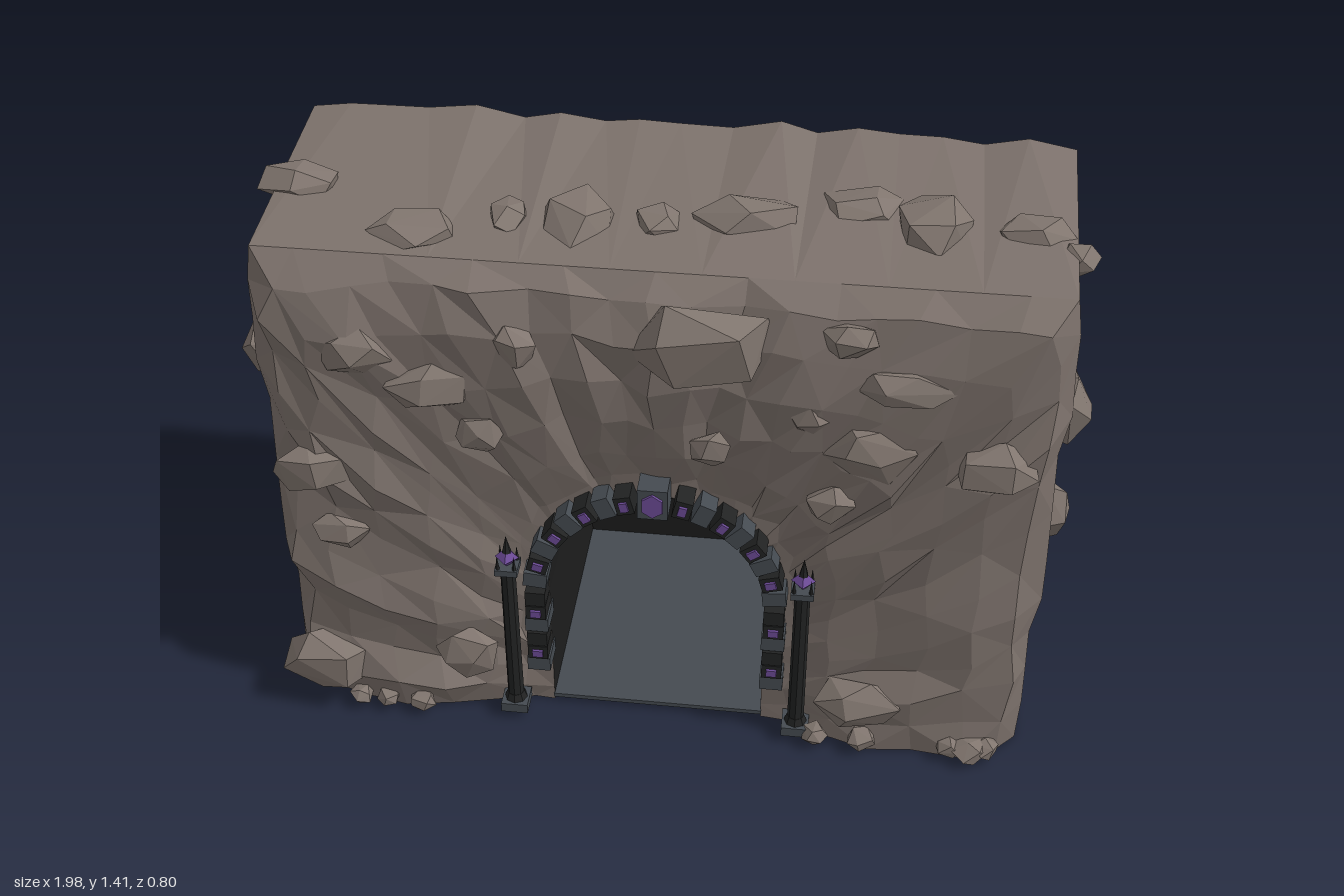
import * as THREE from 'three';
import { ConvexGeometry } from 'three/addons/geometries/ConvexGeometry.js';

let seed = 7;
const rnd = () => {
  seed = (seed * 16807) % 2147483647;
  return seed / 2147483647;
};
const jit = (a) => (rnd() * 2 - 1) * a;
const V = (x, y, z) => new THREE.Vector3(x, y, z);

const mat = (name, color, extra = {}) =>
  new THREE.MeshStandardMaterial({ name, color, flatShading: true, ...extra });

// Faceted surface through rows of points
function sheet(rows) {
  const pos = [];
  for (let i = 0; i < rows.length - 1; i++) {
    for (let j = 0; j < rows[i].length - 1; j++) {
      const a = rows[i][j], b = rows[i][j + 1], c = rows[i + 1][j + 1], d = rows[i + 1][j];
      const order = (i + j) % 2 ? [a, b, c, a, c, d] : [a, b, d, b, c, d];
      order.forEach((p) => pos.push(p.x, p.y, p.z));
    }
  }
  const g = new THREE.BufferGeometry();
  g.setAttribute('position', new THREE.Float32BufferAttribute(pos, 3));
  g.computeVertexNormals();
  return g;
}

// Point on the arch line, s = 0 (left foot) to 1 (right foot)
const SPRING = 0.42;
function archPoint(s, a = 0.268, b = 0.295, foot = 0) {
  const jamb = 0.237;
  if (s < jamb) return [-a, foot + (SPRING - foot) * (s / jamb)];
  if (s > 1 - jamb) return [a, foot + (SPRING - foot) * ((1 - s) / jamb)];
  const t = Math.PI * (1 - (s - jamb) / (1 - 2 * jamb));
  return [Math.cos(t) * a, SPRING + Math.sin(t) * b];
}

export function createModel() {
  seed = 7;
  const cliffMat = mat('cliff brown', 0x7d726c, { side: THREE.DoubleSide });
  const rockMat = mat('rock brown', 0x81766f);
  const darkMat = mat('tunnel black', 0x1c1c1c, { side: THREE.DoubleSide });
  const ironMat = mat('dark stone', 0x222323);
  const slateMat = mat('slate', 0x454b51);
  const gemMat = mat('purple gem', 0x6c4b96);

  const model = new THREE.Group();
  model.name = 'caveEntrance';
  const add = (name, geo, material, parent = model) => {
    const m = new THREE.Mesh(geo, material);
    m.name = name;
    parent.add(m);
    return m;
  };

  // Outer edge of the block: stepped strata up the sides, then over the top
  const H = 1.34, TOP = 18;
  const sideY = [0, 0.13, 0.25, 0.37, 0.48, 0.6, 0.75, 0.92, 1.03, 1.15, 1.25];
  const sideX = [0.922, 0.93, 0.922, 0.912, 0.948, 0.942, 0.93, 0.915, 0.95, 0.935, 0.93];
  const SIDE = sideY.length;
  const edge = (s, z, f) => sideY.map((y, i) => V(s * (0.915 + (sideX[i] - 0.915) * f), y, z));
  const FRONT_Z = 0.245, W = 0.908;
  const rim = [
    ...edge(-1, FRONT_Z, 0.5),
    ...Array.from({ length: TOP + 1 }, (_, i) => V(-W + (2 * W * i) / TOP, H, FRONT_Z)),
    ...edge(1, FRONT_Z, 0.5).reverse(),
  ];
  const N = rim.length - 1;

  // Cliff face: rough ridges fanning out from the arch
  const rings = [[0, 0.252], [0.1, 0.258], [0.24, 0.288], [0.42, 0.312], [0.6, 0.325], [0.78, 0.322], [0.93, 0.298], [1, FRONT_Z]];
  const ridge = rim.map(() => jit(0.02));
  const face = rings.map(([t, z], r) => rim.map((p, j) => {
    const [ax, ay] = archPoint(j / N);
    const foot = j === 0 || j === N;
    const q = V(ax + (p.x - ax) * t, ay + (p.y - ay) * t, z);
    if (r > 0 && r < rings.length - 1) {
      const rough = Math.min(1, t * 3);
      q.x += jit(0.018);
      q.z += (ridge[j] + jit(0.014)) * rough;
      if (!foot) q.y += jit(0.016);
    }
    return q;
  }));
  add('cliffFace', sheet(face), cliffMat);

  // Sides and top, running back to a ragged edge
  const back = [
    ...edge(-1, -0.405, 1).map((p) => p.setY(p.y * 0.98)),
    ...Array.from({ length: TOP + 1 }, (_, i) => {
      const x = -0.935 + (1.87 * i) / TOP;
      return i % TOP === 0 ? V(x, H, -0.405) : V(x + jit(0.02), H + rnd() * 0.035, -0.405);
    }),
    ...edge(1, -0.405, 1).map((p) => p.setY(p.y * 0.98)).reverse(),
  ];
  add('cliffSides', sheet([rim, back]), cliffMat);

  // Back wall with a ragged tunnel mouth
  const outline = back.map((p) => new THREE.Vector2(-p.x, p.y));
  for (let i = 32; i >= 0; i--) {
    const [x, y] = archPoint(i / 32, 0.25, 0.275);
    const foot = i === 0 || i === 32;
    outline.push(new THREE.Vector2(-x + jit(0.022), foot ? 0 : y + jit(0.015)));
  }
  const backGeo = new THREE.ShapeGeometry(new THREE.Shape(outline));
  backGeo.rotateY(Math.PI).translate(0, 0, -0.405);
  add('backWall', backGeo, cliffMat);

  // Tunnel lining, dark end and floor
  const archRow = (z) => Array.from({ length: 33 }, (_, i) => V(...archPoint(i / 32, 0.268, 0.295, 0.012), z));
  add('tunnelLining', sheet([archRow(-0.4), archRow(0.255)]), darkMat);
  const cap = new THREE.ShapeGeometry(
    new THREE.Shape(archRow(0).map((p) => new THREE.Vector2(p.x, p.y))));
  add('tunnelEnd', cap, darkMat).position.z = -0.401;
  add('tunnelFloor', new THREE.BoxGeometry(0.54, 0.012, 0.66), slateMat).position.set(0, 0.018, -0.073);

  // Arch stones: slate and dark blocks in turn, the dark ones with a gem plate
  const arch = new THREE.Group();
  arch.name = 'archStones';
  model.add(arch);
  function stone(x, y, angle, slate, gem) {
    const g = new THREE.Group();
    g.name = 'archStone';
    g.position.set(x, y, 0.27);
    g.rotation.z = angle;
    const depth = slate ? 0.08 : 0.09;
    add('block', new THREE.BoxGeometry(slate ? 0.058 : 0.05, 0.042, depth), slate ? slateMat : ironMat, g);
    if (gem) {
      add('gem', new THREE.BoxGeometry(0.026, 0.02, 0.008), gemMat, g).position.z = depth / 2 + 0.003;
    }
    arch.add(g);
  }
  for (const s of [-1, 1]) {
    for (let k = 0; k < 6; k++) stone(s * 0.294, 0.18 + k * 0.045, 0, k % 3 === 0, k === 1 || k === 4);
    for (let k = 0; k < 8; k++) {
      const t = ((k + 0.55) / 8.9) * (Math.PI / 2);
      const slate = k % 2 === 0;
      stone(s * Math.cos(t) * 0.294, SPRING + 0.015 + Math.sin(t) * 0.3, s > 0 ? t : Math.PI - t, slate, !slate);
    }
  }
  add('keystone', new THREE.BoxGeometry(0.072, 0.085, 0.1), slateMat, arch).position.set(0, 0.745, 0.275);
  const keyGem = add('keystoneGem', new THREE.CylinderGeometry(0.028, 0.028, 0.008, 6), gemMat, arch);
  keyGem.rotation.x = Math.PI / 2;
  keyGem.scale.z = 1.2;
  keyGem.position.set(0, 0.745, 0.328);

  // Columns with a gem and a spike
  for (const s of [-1, 1]) {
    const c = new THREE.Group();
    c.name = s > 0 ? 'leftColumn' : 'rightColumn';
    c.position.set(s * 0.36, 0, 0.3);
    const part = (name, geo, m, y) => { add(name, geo, m, c).position.y = y; };
    part('base', new THREE.BoxGeometry(0.068, 0.028, 0.068), slateMat, 0.036);
    part('plinth', new THREE.CylinderGeometry(0.022, 0.029, 0.02, 8), ironMat, 0.06);
    part('shaft', new THREE.CylinderGeometry(0.019, 0.021, 0.43, 8), ironMat, 0.275);
    part('capital', new THREE.BoxGeometry(0.056, 0.018, 0.056), slateMat, 0.494);
    part('gem', new THREE.OctahedronGeometry(0.03), gemMat, 0.526);
    part('spike', new THREE.ConeGeometry(0.012, 0.05, 6), ironMat, 0.568);
    for (let k = 0; k < 4; k++) {
      const a = (k + 0.5) * (Math.PI / 2);
      const claw = add('claw', new THREE.ConeGeometry(0.006, 0.045, 4), ironMat, c);
      claw.position.set(Math.cos(a) * 0.029, 0.522, Math.sin(a) * 0.029);
    }
    model.add(c);
  }

  // Boulders: convex lumps sunk into the cliff
  function rock(name, x, y, z, rx, ry, rz) {
    const pts = [];
    const turn = new THREE.Euler(rnd() * 6, rnd() * 6, rnd() * 6);
    const n = 12;
    for (let i = 0; i < n; i++) {
      const h = 1 - (2 * (i + 0.5)) / n, a = i * 2.4 + jit(0.25), r = Math.sqrt(1 - h * h);
      pts.push(V(Math.cos(a) * r, h, Math.sin(a) * r).multiplyScalar(1.06 + jit(0.08))
        .applyEuler(turn).multiply(V(rx, ry, rz)));
    }
    add(name, new ConvexGeometry(pts), rockMat).position.set(x, y, z);
  }
  // x, y, half width, half height, half depth
  [[0.11, 1.21, 0.175, 0.105, 0.085], [-0.68, 1.13, 0.09, 0.06, 0.045], [-0.51, 1.04, 0.1, 0.065, 0.05],
    [-0.31, 1.17, 0.055, 0.055, 0.035], [0.43, 1.25, 0.065, 0.045, 0.04], [0.56, 1.13, 0.11, 0.05, 0.05],
    [0.5, 0.94, 0.105, 0.08, 0.045], [0.77, 0.92, 0.1, 0.07, 0.05], [-0.81, 0.78, 0.1, 0.07, 0.055],
    [-0.76, 0.59, 0.07, 0.05, 0.035], [-0.84, 0.15, 0.12, 0.085, 0.07], [0.51, 0.15, 0.11, 0.07, 0.055],
    [-0.47, 0.21, 0.08, 0.075, 0.035], [0.41, 0.79, 0.06, 0.05, 0.035], [-0.4, 0.92, 0.06, 0.05, 0.03],
    [0.13, 0.92, 0.05, 0.05, 0.03], [0.35, 1.04, 0.05, 0.045, 0.03],
  ].forEach(([x, y, a, b, c]) => rock('faceBoulder', x, y, 0.32, a, b, c));

  // Pebbles along the foot: x, half width
  [[-0.76, 0.032], [-0.69, 0.03], [-0.6, 0.035], [0.41, 0.035], [0.53, 0.04], [0.75, 0.035], [0.8, 0.05], [0.84, 0.035],
  ].forEach(([x, a]) => rock('pebble', x, 0.037, 0.33, a, Math.min(a * 0.8, 0.032), a));

  // Side boulders: side, y, z, half height, half depth
  [[1, 1.01, 0.18, 0.085, 0.07], [1, 0.64, 0.1, 0.085, 0.062], [1, 0.25, -0.22, 0.085, 0.06],
    [-1, 1.02, 0.16, 0.085, 0.07], [-1, 0.62, -0.02, 0.09, 0.07], [-1, 0.25, -0.18, 0.085, 0.07],
  ].forEach(([s, y, z, b, c]) => rock('sideBoulder', s * 0.925, y, z, 0.06, b, c));

  // Top boulders: x, z, half width, half height, half depth
  [[-0.86, -0.03, 0.1, 0.045, 0.06], [-0.56, 0.14, 0.1, 0.035, 0.085], [-0.36, 0.06, 0.045, 0.035, 0.065],
    [-0.2, 0.05, 0.09, 0.055, 0.11], [-0.02, 0.04, 0.055, 0.035, 0.065], [0.18, 0.01, 0.12, 0.06, 0.08],
    [0.43, -0.07, 0.105, 0.04, 0.075], [0.6, 0, 0.09, 0.07, 0.115], [0.82, 0, 0.09, 0.045, 0.055],
  ].forEach(([x, z, a, b, c]) => rock('topBoulder', x, 1.343, z, a, b, c));
  rock('cornerBoulder', 0.92, 1.32, 0.05, 0.045, 0.035, 0.05);

  return model;
}
